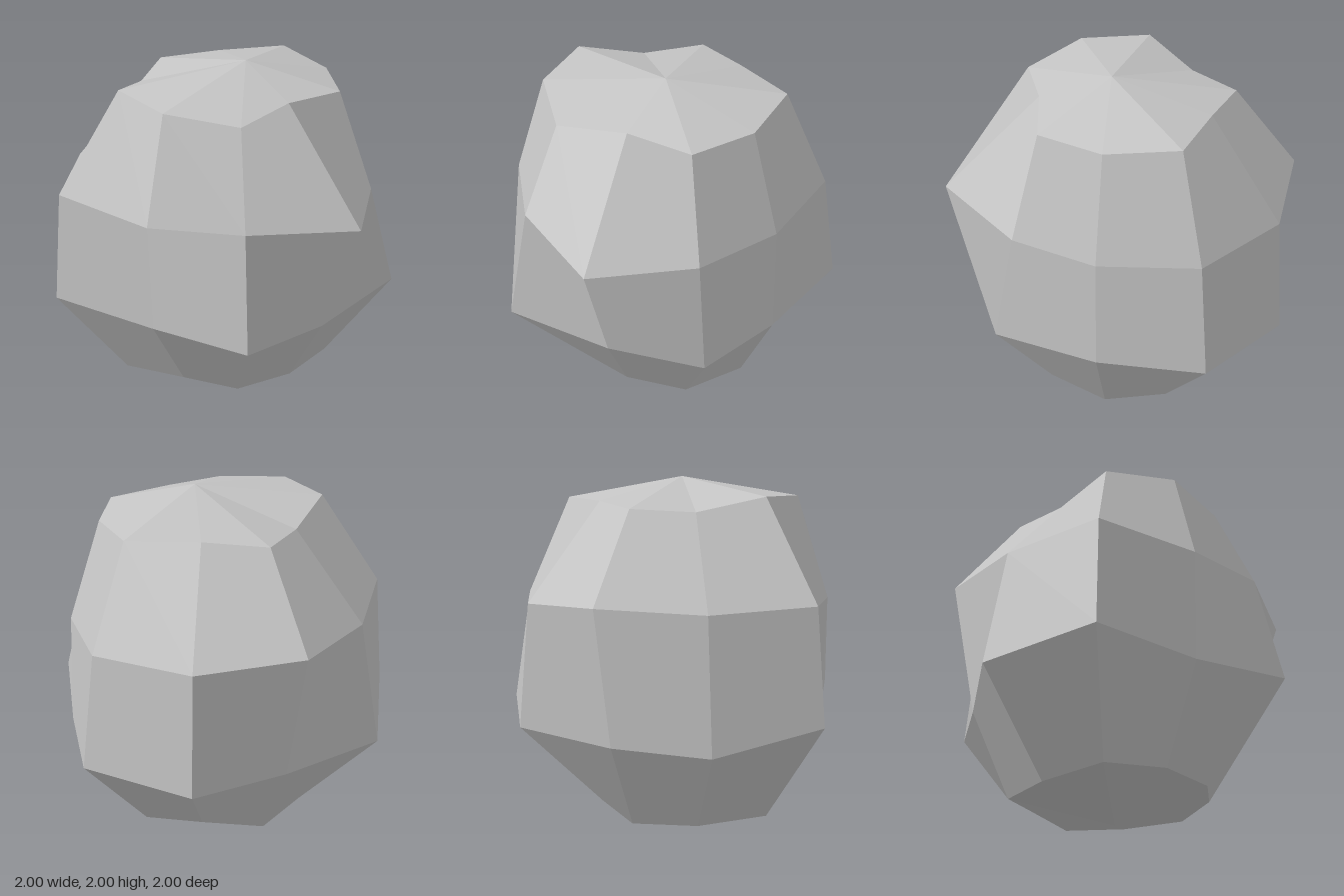
import * as THREE from 'three';

// Rings from top to bottom; each entry is [radius, height], ten per ring,
// starting on the -x side and turning towards the front.
const RINGS = [
  [[.60, 1.85], [.50, 1.83], [.64, 1.91], [.66, 1.90], [.65, 1.855], [.48, 1.875], [.625, 1.855], [.62, 1.855], [.67, 1.88], [.51, 1.875]],
  [[.97, 1.37], [.90, 1.34], [1.007, 1.36], [.84, 1.325], [.87, 1.355], [1.03, 1.33], [.83, 1.285], [.805, 1.29], [.925, 1.32], [.94, 1.33]],
  [[.82, .60], [1.035, .63], [1.07, .72], [.82, .69], [1.01, .717], [.79, .63], [.985, .71], [.83, .64], [1.03, .68], [1.005, .64]],
  [[.60, .11], [.58, .11], [.67, .135], [.525, .18], [.543, .16], [.55, .175], [.61, .16], [.63, .16], [.57, .11], [.52, .14]],
];
const SIDES = 10;
const AXIS = { x: -0.03, z: -0.02 };

// Gives both triangles of every four-sided facet one shared normal
function shadeFacets(geometry) {
  geometry.computeVertexNormals();
  const { position, normal } = geometry.attributes;
  const corner = (i) => new THREE.Vector3().fromBufferAttribute(position, i);
  const capEnd = SIDES * 3; // the end caps are single triangles
  for (let i = capEnd; i < position.count - capEnd; i += 6) {
    const across = corner(i + 4).sub(corner(i));
    const n = across.cross(corner(i + 2).sub(corner(i + 1))).normalize();
    for (let k = 0; k < 6; k++) normal.setXYZ(i + k, n.x, n.y, n.z);
  }
}

export function createModel() {
  const group = new THREE.Group();
  group.name = 'rock';
  const stone = new THREE.MeshStandardMaterial({ name: 'light stone grey', color: 0xc4c4c4 });

  // Coarse sphere whose rings are pushed in and out into an uneven boulder
  const sphere = new THREE.SphereGeometry(1, SIDES, RINGS.length + 1);
  const pos = sphere.attributes.position;
  for (let i = 0; i < pos.count; i++) {
    const row = Math.floor(i / (SIDES + 1));
    const col = (i % (SIDES + 1)) % SIDES;
    if (row === 0) pos.setXYZ(i, 0.06, 2, -0.07);
    else if (row > RINGS.length) pos.setXYZ(i, AXIS.x, 0, AXIS.z);
    else {
      const [r, y] = RINGS[row - 1][col];
      const a = (col / SIDES) * Math.PI * 2;
      pos.setXYZ(i, AXIS.x - r * Math.cos(a), y, AXIS.z + r * Math.sin(a));
    }
  }

  // Separate the facets so each one is flat
  const geometry = sphere.toNonIndexed();
  shadeFacets(geometry);
  const boulder = new THREE.Mesh(geometry, stone);
  boulder.name = 'boulder';
  group.add(boulder);
  return group;
}
